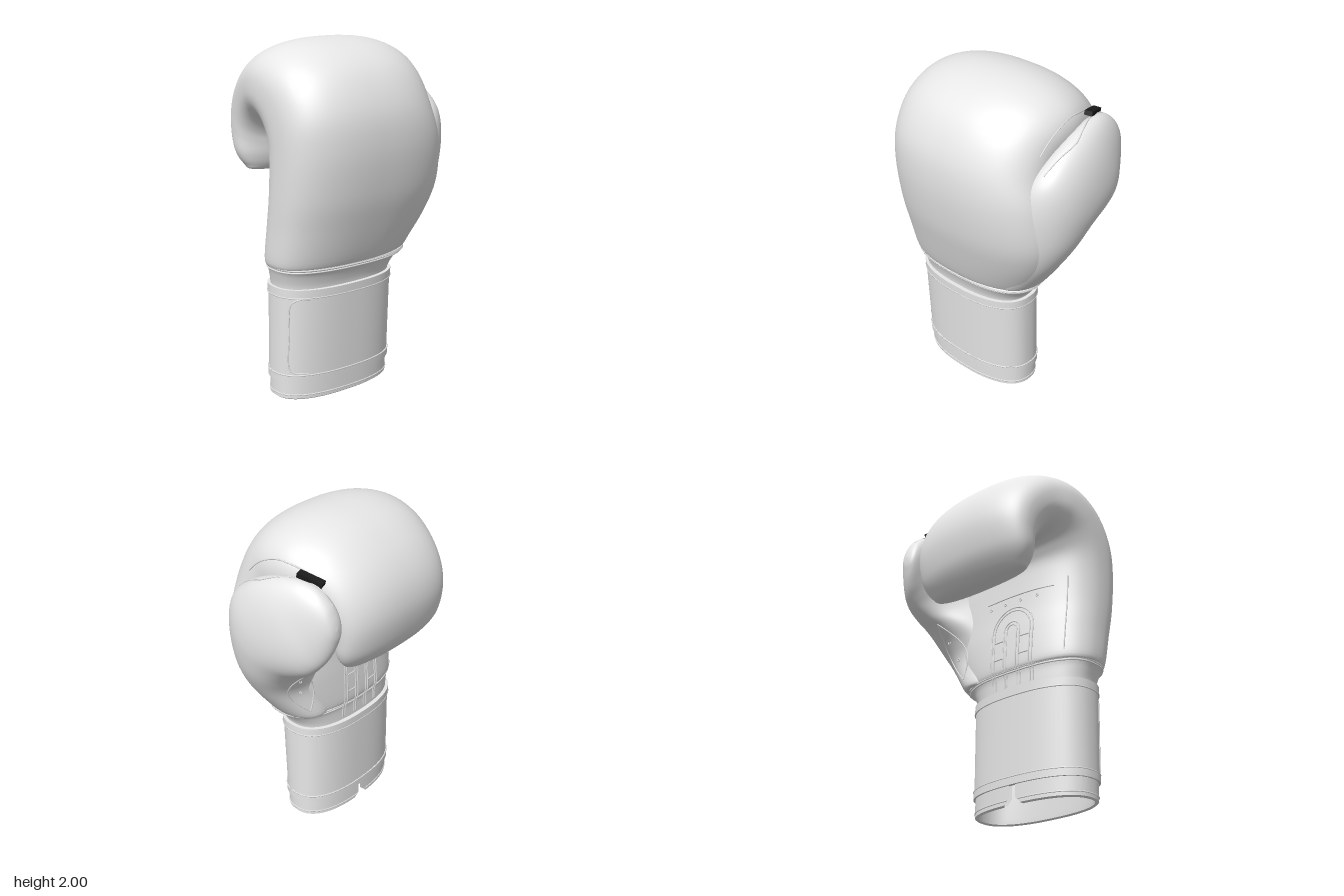
import * as THREE from 'three';
import { toCreasedNormals } from 'three/addons/utils/BufferGeometryUtils.js';

const leather = new THREE.MeshStandardMaterial({ color: 0xeeeeee, side: THREE.DoubleSide });
leather.name = 'white leather';
const dark = new THREE.MeshStandardMaterial({ color: 0x1c1c1c });
dark.name = 'dark tab';

const SEG = 72;

// A station is [outer z, outer y, inner z, inner y, min x, max x, slit angle].
// Its ring is a superellipse spanning those limits; nr is the exponent of the +x half.
function ringPoints(s, n, nr = n) {
  const [zo, yo, zi, yi, x0, x1, slit = 0] = s;
  const pts = [];
  for (let j = 0; j <= SEG; j++) {
    const a = -Math.PI / 2 + slit + (j / SEG) * 2 * (Math.PI - slit);
    const c = Math.cos(a), d = Math.sin(a), e = 2 / (c > 0 ? nr : n);
    const u = Math.sign(c) * Math.abs(c) ** e, v = Math.sign(d) * Math.abs(d) ** e;
    pts.push(new THREE.Vector3((x0 + x1) / 2 + u * (x1 - x0) / 2,
      (yo + yi) / 2 + v * (yo - yi) / 2, (zo + zi) / 2 + v * (zo - zi) / 2));
  }
  return pts;
}

// Smooth interpolation between stations
function refine(st, steps) {
  const out = [], at = i => st[Math.min(Math.max(i, 0), st.length - 1)];
  for (let i = 0; i < st.length - 1; i++) for (let k = 0; k < steps; k++) {
    const t = k / steps;
    out.push(st[i].map((b, m) => {
      const a = at(i - 1)[m], c = at(i + 1)[m], d = at(i + 2)[m];
      return 0.5 * (2 * b + (c - a) * t + (2 * a - 5 * b + 4 * c - d) * t * t + (3 * b - a - 3 * c + d) * t ** 3);
    }));
  }
  out.push(st[st.length - 1]);
  return out;
}

function loft(name, stations, n, { steps = 1, open = false, nr = n } = {}) {
  const rows = steps > 1 ? refine(stations, steps) : stations;
  const pos = [], idx = [], w = open ? SEG + 1 : SEG;
  rows.forEach(s => ringPoints(s, n, nr).slice(0, w).forEach(p => pos.push(p.x, p.y, p.z)));
  for (let i = 0; i < rows.length - 1; i++) for (let j = 0; j < SEG; j++) {
    const a = i * w + j, b = i * w + (j + 1) % w;
    idx.push(a, a + w, b, b, a + w, b + w);
  }
  let g = new THREE.BufferGeometry();
  g.setAttribute('position', new THREE.Float32BufferAttribute(pos, 3));
  g.setIndex(idx);
  g.computeVertexNormals();
  if (steps === 1) g = toCreasedNormals(g, 0.7);
  const m = new THREE.Mesh(g, leather);
  m.name = name;
  return m;
}

// Level cuff ring at height y, grown outward by e
const cuff = (y, e = 0, slit = 0) => [0.265 + 0.035 * y / 0.66 + e, y, -0.116 - e, y, -0.552 - e, 0.214 + e, slit];
const band = (name, y0, y1, e) => loft(name, [cuff(y0, -0.01), cuff(y0, e), cuff(y1, e), cuff(y1, -0.01)], 2.4);

function seam(name, pts, closed = false, r = 0.004) {
  const m = new THREE.Mesh(new THREE.TubeGeometry(
    new THREE.CatmullRomCurve3(pts, closed), closed ? 140 : 70, r, 5, closed), leather);
  m.name = name;
  return m;
}

// Drop points along a direction onto the given meshes
const ray = new THREE.Raycaster();
function project(pts, dir, targets) {
  const d = new THREE.Vector3(...dir);
  return pts.map(p => {
    ray.set(new THREE.Vector3(...p), d);
    const hit = ray.intersectObjects(targets, false)[0];
    return hit && hit.point.addScaledVector(d, -0.002);
  }).filter(Boolean);
}

export function createModel() {
  const glove = new THREE.Group();
  glove.name = 'boxingGlove';

  // Padded hand, broad over the thumb root, curling over to the fingertips
  const hand = loft('paddedHand', [
    [0.31, 0.775, -0.09, 0.775, -0.56, 0.27], [0.345, 0.80, -0.115, 0.80, -0.59, 0.305],
    [0.415, 1.0, -0.105, 1.0, -0.593, 0.425], [0.47, 1.2, -0.09, 1.15, -0.596, 0.475],
    [0.5, 1.45, -0.08, 1.32, -0.598, 0.46], [0.475, 1.66, -0.08, 1.41, -0.6, 0.415],
    [0.37, 1.85, -0.1, 1.46, -0.6, 0.405], [0.2, 1.963, -0.12, 1.49, -0.597, 0.415],
    [0, 2.0, -0.14, 1.5, -0.585, 0.41], [-0.2, 1.957, -0.165, 1.49, -0.56, 0.38],
    [-0.36, 1.845, -0.185, 1.46, -0.538, 0.35], [-0.462, 1.7, -0.2, 1.42, -0.522, 0.33],
    [-0.5, 1.54, -0.205, 1.38, -0.512, 0.315], [-0.475, 1.37, -0.215, 1.32, -0.5, 0.295],
    [-0.42, 1.27, -0.235, 1.265, -0.46, 0.25], [-0.37, 1.23, -0.265, 1.235, -0.4, 0.18],
    [-0.31, 1.22, -0.31, 1.22, -0.11, -0.11],
  ], 2.5, { steps: 6, nr: 2.3 });

  // Thumb, rising from the heel and bending back
  const thumb = loft('thumb', [
    [0.26, 0.775, -0.07, 0.775, 0.02, 0.27], [0.29, 0.81, -0.09, 0.80, 0.0, 0.315],
    [0.32, 1.0, -0.06, 0.98, 0.0, 0.45], [0.34, 1.2, -0.09, 1.09, 0.05, 0.535],
    [0.335, 1.42, -0.16, 1.18, 0.14, 0.58], [0.28, 1.58, -0.23, 1.235, 0.24, 0.593],
    [0.15, 1.69, -0.29, 1.285, 0.3, 0.586], [0, 1.76, -0.335, 1.335, 0.32, 0.564],
    [-0.16, 1.79, -0.37, 1.385, 0.33, 0.525], [-0.28, 1.77, -0.395, 1.44, 0.335, 0.49],
    [-0.36, 1.71, -0.41, 1.49, 0.345, 0.46], [-0.4, 1.64, -0.418, 1.53, 0.365, 0.435],
    [-0.418, 1.58, -0.418, 1.58, 0.4, 0.4],
  ], 2.1, { steps: 6 });

  // Narrow neck between hand and strap
  const neck = loft('neck', [
    [0.285, 0.63, -0.1, 0.63, -0.545, 0.2], [0.29, 0.68, -0.1, 0.68, -0.55, 0.21],
    [0.31, 0.74, -0.1, 0.74, -0.565, 0.25], [0.338, 0.785, -0.105, 0.785, -0.58, 0.3],
    [0.3, 0.8, -0.08, 0.8, -0.55, 0.25],
  ], 2.5, { steps: 5 });
  glove.add(hand, thumb, neck);
  [0.765, 0.778].forEach((y, i) => glove.add(seam('neckSeam', ringPoints(
    [0.33 + i * 0.006, y, -0.105, y, -0.577, 0.28 + i * 0.015], 2.5).slice(0, SEG), true, 0.005)));

  // Hollow wrist strap with raised edge bands
  const strap = loft('wristStrap', [
    [0.09, 0.7, 0.09, 0.7, -0.17, -0.17], cuff(0.64, -0.025), cuff(0.12, -0.02),
    cuff(0.12, 0.006), cuff(0.66, 0.006), cuff(0.66, -0.015),
  ], 2.4);
  glove.add(strap, band('upperBand', 0.61, 0.66, 0.011), band('lowerBand', 0.11, 0.155, 0.011));
  for (const y of [0.612, 0.153]) {
    glove.add(seam('bandSeam', ringPoints(cuff(y, 0.01), 2.4).slice(0, SEG), true));
  }

  // Inner lining below the strap, slit at the palm side
  glove.add(loft('cuffLining', [
    cuff(0.3, -0.022, 0.03), cuff(0.04, -0.022, 0.03), cuff(0.008, -0.02, 0.09), cuff(0, -0.01, 0.12),
    cuff(0.008, 0, 0.09), cuff(0.04, 0, 0.03), cuff(0.14, 0, 0.03),
  ], 2.4, { open: true }));
  glove.add(seam('hemSeam', ringPoints(cuff(0.03, 0.001, 0.06), 2.4)));

  // Stitched strap end on the front
  glove.add(seam('strapEndSeam', project([[-0.44, 0.605, 1], [-0.5, 0.6, 1], [-0.525, 0.57, 1], [-0.528, 0.4, 1],
    [-0.528, 0.2, 1], [-0.515, 0.17, 1], [-0.44, 0.16, 1]], [0, 0, -1], [strap])));

  // Palm horseshoe trim and rungs
  const arch = (r, top) => {
    const pts = [];
    const leg = i => 0.68 + (top - r - 0.68) * i / 6;
    for (let i = 0; i <= 6; i++) pts.push([-0.16 - r, leg(i), -0.19]);
    for (let i = 1; i < 8; i++) pts.push([-0.16 - r * Math.cos(i * Math.PI / 8), top - r + r * Math.sin(i * Math.PI / 8), -0.19]);
    for (let i = 6; i >= 0; i--) pts.push([-0.16 + r, leg(i), -0.19]);
    return pts;
  };
  const palm = pts => project(pts, [0, 0, 1], [hand, neck]);
  [[0.035, 1.06], [0.055, 1.08], [0.125, 1.15], [0.145, 1.17]].forEach(([r, top]) =>
    glove.add(seam('palmTrimSeam', palm(arch(r, top)))));
  for (const y of [0.86, 0.97]) for (const s of [-1, 1]) {
    glove.add(seam('palmRung', palm([0.055, 0.09, 0.125].map(d => [-0.16 + s * d, y, -0.19]))));
  }

  // Palm edge, finger crease and thumb panel seams
  const ys = [0.82, 0.9, 1.0, 1.1, 1.2, 1.3];
  glove.add(seam('palmEdgeSeam', palm(ys.map(y => [-0.49, y, -0.19]))));
  glove.add(seam('palmCreaseSeam', palm([-0.42, -0.32, -0.2, -0.08, 0.04].map(x => [x, 1.25, -0.19]))));
  for (const s of [-1, 1]) {
    glove.add(seam('thumbPanelSeam', project([0, 1, 2, 3, 4, 5, 6].map(i =>
      [0.24 + i * 0.02 + s * 0.08 * Math.sin(i * Math.PI / 6), 0.84 + i * 0.06, -0.6]), [0, 0, 1], [thumb, hand])));
  }

  // Web seams beside the thumb
  glove.add(seam('thumbTopSeam', project([[0.385, 3, -0.37], [0.39, 3, -0.28], [0.42, 3, -0.14], [0.46, 3, -0.03],
    [0.48, 3, 0.04], [0.46, 3, 0.16], [0.44, 3, 0.25]], [0, -1, 0], [thumb])));
  glove.add(seam('handSideSeam', project([[1, 1.7, 0.22], [1, 1.75, 0.17], [1, 1.8, 0.1], [1, 1.835, 0],
    [1, 1.83, -0.1], [1, 1.81, -0.18]], [-1, 0, 0], [hand])));

  // Vent eyelets
  const eyelets = [...palm([-0.32, -0.21, -0.1, 0.01].map(x => [x, 1.21, -0.19])),
    ...project([[0.3, 0.99, -0.6], [0.34, 1.1, -0.6]], [0, 0, 1], [thumb, hand])];
  eyelets.forEach(p => {
    const e = new THREE.Mesh(new THREE.TorusGeometry(0.008, 0.003, 6, 14), leather);
    e.name = 'ventEyelet';
    e.position.copy(p);
    glove.add(e);
  });

  // Dark tab tying thumb to hand
  const tab = new THREE.Mesh(new THREE.BoxGeometry(0.045, 0.026, 0.145), dark);
  tab.name = 'thumbTab';
  tab.position.set(0.382, 1.794, -0.22);
  tab.rotation.set(-0.27, 0.3, 0);
  glove.add(tab);
  return glove;
}
